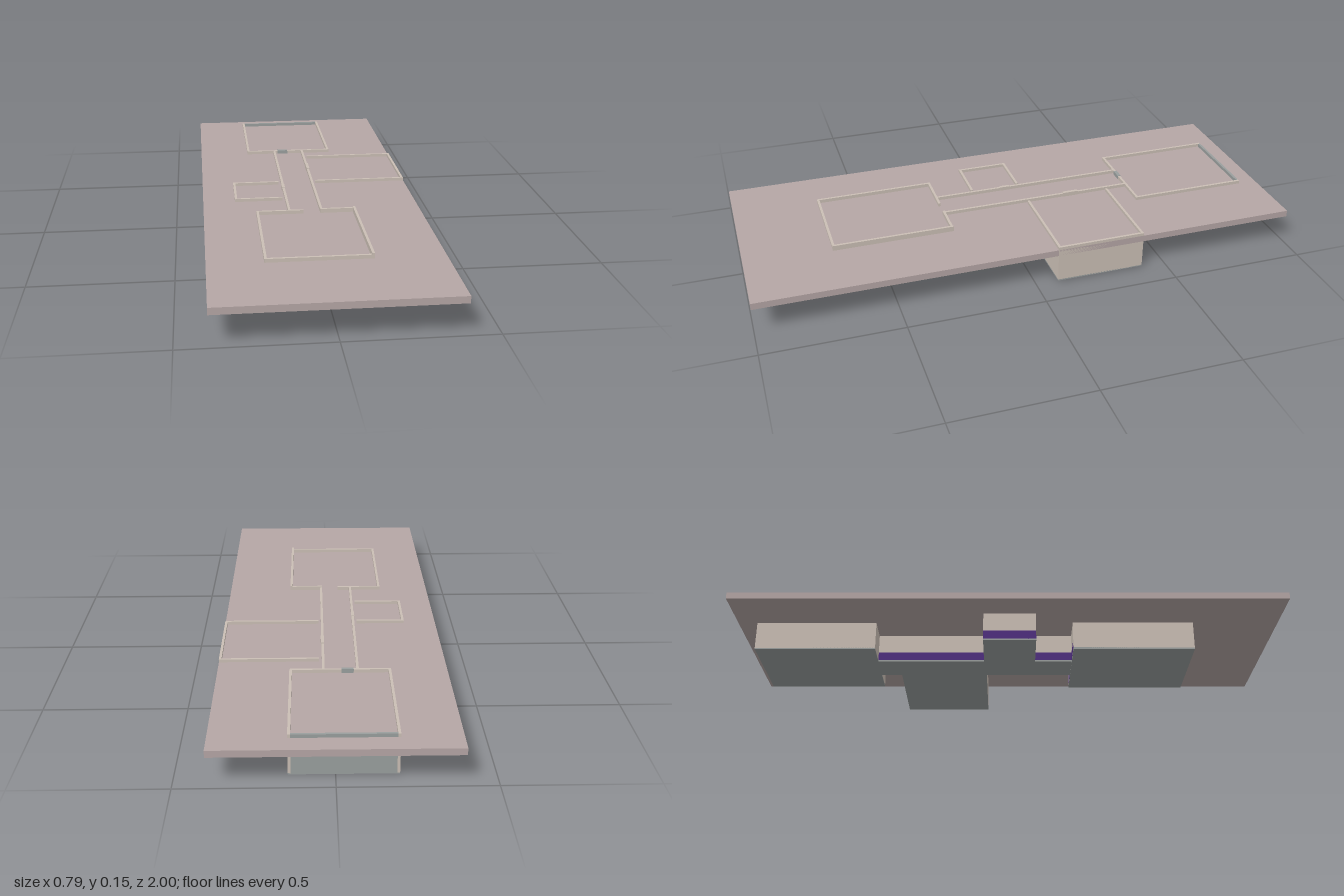
import * as THREE from 'three';

const mat = (color) => new THREE.MeshStandardMaterial({ color, flatShading: true });
const BEIGE = mat(0xcbbfb5), SLAB = mat(0xb5a6a5), PURPLE = mat(0x4f2e80), GREY = mat(0x9a9f9e);
const T = 0.009; // wall thickness
const BASE = 0.006; // bottom of the walls
const BAND = 0.04; // top of the coloured skirting

// Box given by its extents along x, y and z
function box(parent, name, material, x0, x1, y0, y1, z0, z1) {
  const mesh = new THREE.Mesh(new THREE.BoxGeometry(x1 - x0, y1 - y0, z1 - z0), material);
  mesh.position.set((x0 + x1) / 2, (y0 + y1) / 2, (z0 + z1) / 2);
  mesh.name = name;
  parent.add(mesh);
}

// Thin wall, optionally with a coloured lower band
function wall(parent, name, [x0, x1, z0, z1], top, { band = false, material = BEIGE } = {}) {
  if (band) box(parent, name + 'Skirting', PURPLE, x0, x1, BASE, BAND, z0, z1);
  box(parent, name, material, x0, x1, band ? BAND : BASE, top, z0, z1);
}

// Rectangular room: floor and walls on the chosen sides
function room(name, [x0, x1, z0, z1], top, sides, floorBottom = 0.003) {
  const g = new THREE.Group();
  g.name = name;
  box(g, 'floor', GREY, x0, x1, floorBottom, BASE + 0.002, z0, z1);
  const spans = {
    left: [x1 - T, x1, z0, z1],
    right: [x0, x0 + T, z0, z1],
    front: [x0 + T, x1 - T, z1 - T, z1],
    back: [x0 + T, x1 - T, z0, z0 + T],
  };
  for (const [side, options] of Object.entries(sides)) wall(g, side + 'Wall', spans[side], top, options);
  return g;
}

export function createModel() {
  const model = new THREE.Group();
  model.name = 'floorPlan';
  const plain = {}, banded = { band: true }, grey = { material: GREY };

  // Ground slab that the walls pass through
  box(model, 'groundSlab', SLAB, -0.395, 0.395, 0.109, 0.133, -1, 1);

  // Rooms around the corridor
  model.add(room('backRoom', [-0.2, 0.148, -0.93, -0.488], 0.145,
    { left: plain, right: plain, front: plain, back: grey }));
  model.add(room('leftRoom', [0.036, 0.395, -0.41, -0.082], 0.144,
    { left: plain, front: plain, back: plain }));
  model.add(room('rightRoom', [-0.277, -0.09, -0.09, 0.102], 0.144,
    { right: banded, front: banded, back: banded }));
  model.add(room('corridor', [-0.09, 0.036, -0.488, 0.24], 0.145,
    { left: banded, right: banded }));

  // Front room, open towards the corridor
  const front = room('frontRoom', [-0.206, 0.155, 0.24, 0.685], 0.146,
    { left: plain, right: plain, front: plain }, 0);
  wall(front, 'backWallRight', [-0.197, -0.035, 0.24, 0.24 + T], 0.146, banded);
  wall(front, 'backWallLeft', [0.027, 0.146, 0.24, 0.24 + T], 0.148, banded);
  box(front, 'leftWallCap', BEIGE, 0.146, 0.155, 0.146, 0.152, 0.24, 0.685);
  model.add(front);

  // Small door pieces on top of the walls
  const doors = new THREE.Group();
  doors.name = 'doors';
  box(doors, 'leftDoor', BEIGE, 0.026, 0.038, 0.133, 0.149, -0.29, -0.23);
  box(doors, 'rightDoor', BEIGE, -0.092, -0.08, 0.133, 0.147, -0.05, -0.012);
  box(doors, 'backDoor', GREY, -0.072, -0.03, 0.133, 0.147, -0.499, -0.486);
  model.add(doors);

  return model;
}
